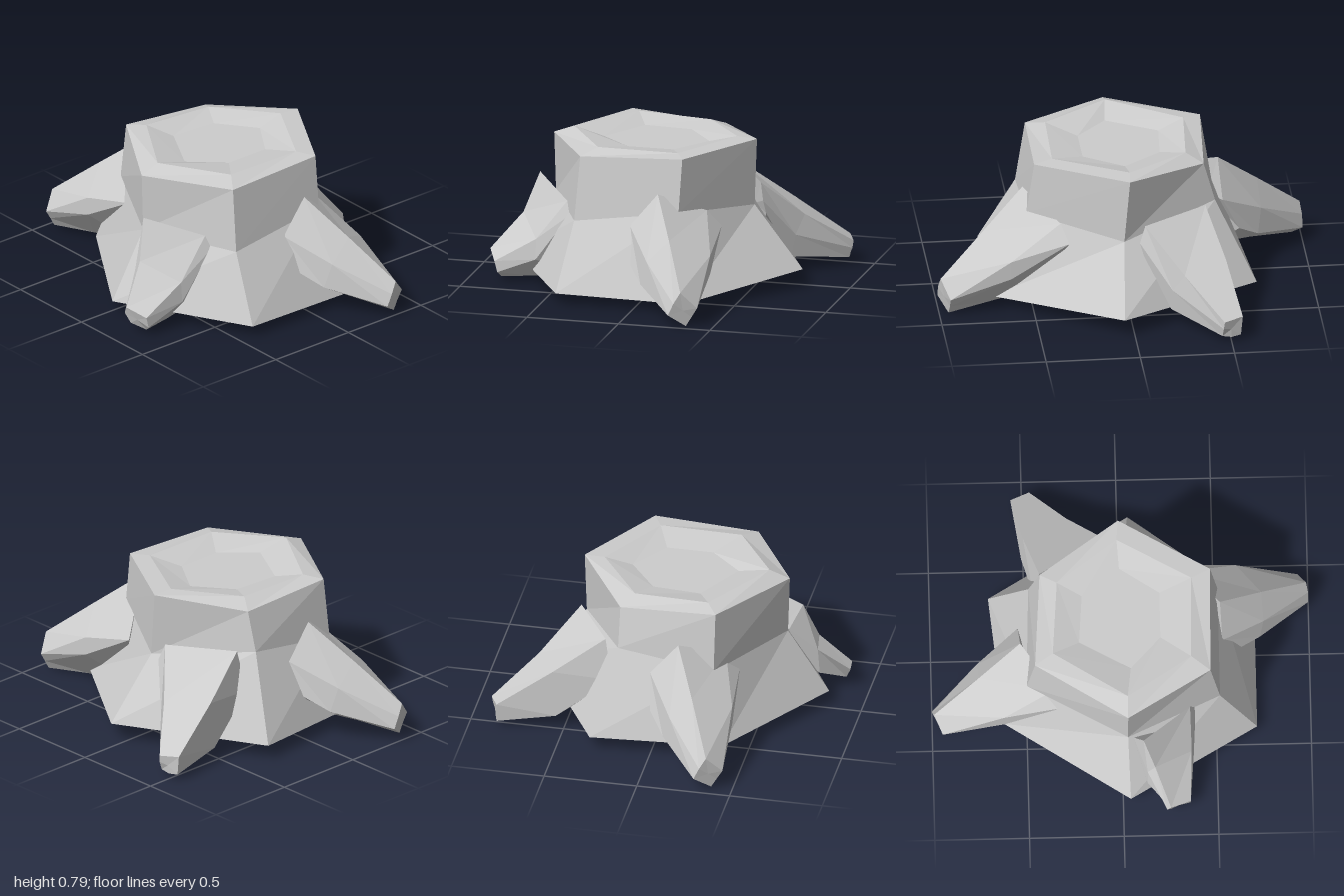
import * as THREE from 'three';

const bark = new THREE.MeshStandardMaterial({ color: 0xcccccc });
bark.name = 'stump grey';

// Joins rings of equal point count (counter-clockwise seen from the last ring) and caps both ends.
function loft(rings) {
  const pos = [];
  const tri = (...points) => points.forEach((p) => pos.push(...p));
  const middle = (ring) => [0, 1, 2].map((k) => ring.reduce((s, p) => s + p[k], 0) / ring.length);
  const n = rings[0].length;
  for (let i = 0; i < rings.length - 1; i++) {
    for (let j = 0; j < n; j++) {
      const k = (j + 1) % n;
      const a = rings[i][j], b = rings[i][k], c = rings[i + 1][k], d = rings[i + 1][j];
      tri(a, b, c);
      tri(a, c, d);
    }
  }
  const first = rings[0], last = rings[rings.length - 1];
  const m0 = middle(first), m1 = middle(last);
  for (let j = 0; j < n; j++) {
    const k = (j + 1) % n;
    tri(first[k], first[j], m0);
    tri(last[j], last[k], m1);
  }
  const g = new THREE.BufferGeometry();
  g.setAttribute('position', new THREE.Float32BufferAttribute(pos, 3));
  g.computeVertexNormals();
  return g;
}

// Six-sided trunk: flared foot, waist, cut edge, raised rim and shallow hollow
const trunkRings = [
  [[0.755, 0.10, 0.055], [0.32, 0.08, -0.69], [-0.38, 0.07, -0.62], [-0.82, 0.08, 0.04], [-0.42, 0.06, 0.715], [0.28, 0.05, 0.715]],
  [[0.485, 0.43, 0.03], [0.21, 0.52, -0.48], [-0.31, 0.45, -0.50], [-0.60, 0.43, 0.03], [-0.37, 0.41, 0.52], [0.20, 0.49, 0.52]],
  [[0.49, 0.78, 0.00], [0.21, 0.735, -0.42], [-0.31, 0.77, -0.455], [-0.61, 0.75, 0.03], [-0.35, 0.75, 0.47], [0.21, 0.775, 0.48]],
  [[0.38, 0.785, -0.01], [0.15, 0.775, -0.33], [-0.25, 0.785, -0.36], [-0.50, 0.79, 0.03], [-0.28, 0.78, 0.37], [0.16, 0.78, 0.38]],
  [[0.23, 0.75, 0.00], [0.08, 0.75, -0.20], [-0.18, 0.75, -0.22], [-0.33, 0.75, 0.05], [-0.16, 0.75, 0.21], [0.09, 0.75, 0.21]],
];

// Each root ring: ridge, upper left, lower left, underside, lower right, upper right
const longRoot = [
  [[0.09, 0.59, 0.53], [-0.06, 0.41, 0.54], [-0.04, 0.23, 0.63], [0.20, 0.03, 0.52], [0.38, 0.38, 0.31], [0.31, 0.47, 0.35]],
  [[0.21, 0.40, 0.75], [0.09, 0.28, 0.76], [0.05, 0.15, 0.74], [0.28, 0.02, 0.72], [0.40, 0.20, 0.62], [0.40, 0.30, 0.62]],
  [[0.335, 0.19, 0.99], [0.30, 0.13, 1.00], [0.27, 0.065, 1.00], [0.355, 0.00, 0.95], [0.385, 0.05, 0.945], [0.415, 0.10, 0.945]],
];
const wideRoot = [
  [[0.49, 0.52, -0.08], [0.51, 0.43, -0.05], [0.52, 0.36, -0.07], [0.45, 0.05, -0.28], [0.25, 0.30, -0.45], [0.29, 0.53, -0.42]],
  [[0.68, 0.31, -0.27], [0.645, 0.21, -0.21], [0.62, 0.09, -0.205], [0.62, 0.05, -0.35], [0.54, 0.08, -0.51], [0.56, 0.34, -0.50]],
  [[0.895, 0.13, -0.46], [0.89, 0.09, -0.455], [0.87, 0.04, -0.45], [0.865, 0.03, -0.50], [0.85, 0.035, -0.55], [0.85, 0.14, -0.56]],
];
const shortRoot = [
  [[-0.665, 0.55, 0.11], [-0.60, 0.42, 0.06], [-0.64, 0.25, 0.08], [-0.43, 0.04, 0.25], [-0.43, 0.40, 0.39], [-0.45, 0.47, 0.36]],
  [[-0.74, 0.34, 0.17], [-0.74, 0.27, 0.13], [-0.75, 0.13, 0.13], [-0.65, 0.03, 0.30], [-0.62, 0.14, 0.375], [-0.62, 0.25, 0.365]],
  [[-0.90, 0.15, 0.25], [-0.895, 0.11, 0.23], [-0.87, 0.05, 0.25], [-0.82, 0.02, 0.32], [-0.835, 0.05, 0.355], [-0.85, 0.11, 0.355]],
];

export function createModel() {
  const group = new THREE.Group();
  group.name = 'treeStump';

  const addPart = (name, rings) => {
    const mesh = new THREE.Mesh(loft(rings), bark);
    mesh.name = name;
    group.add(mesh);
    return mesh;
  };

  addPart('trunk', trunkRings);
  addPart('frontRoot', longRoot);
  addPart('leftRoot', wideRoot);
  addPart('rightRoot', shortRoot);

  // The back root is the front one turned half round
  const backRoot = addPart('backRoot', longRoot);
  backRoot.rotation.y = Math.PI;
  backRoot.position.set(-0.035, 0.015, 0);

  return group;
}
